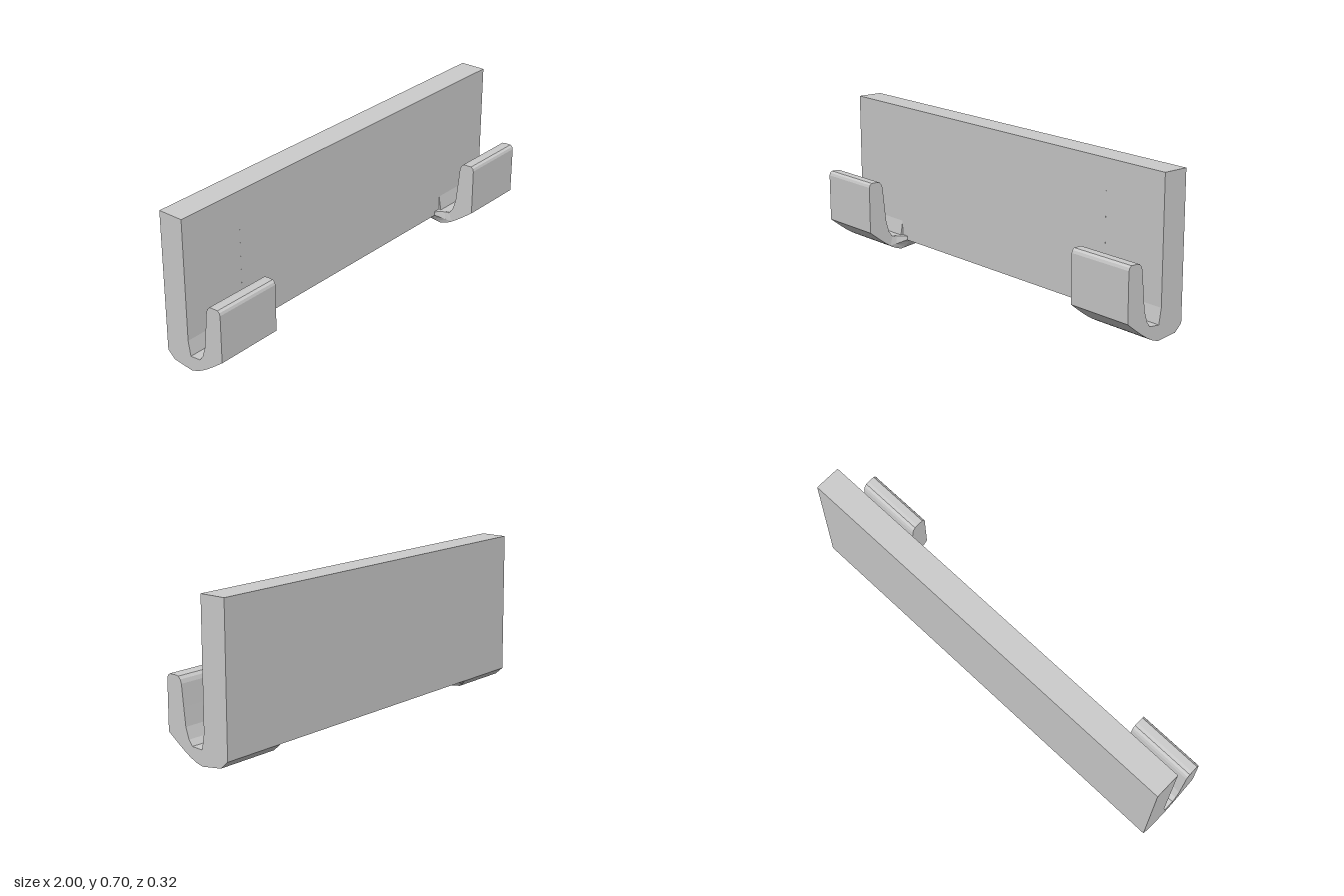
import * as THREE from 'three';

const material = new THREE.MeshStandardMaterial({ color: 0xcccccc, flatShading: true });
const INNER = 0.68; // inner end of each hook along x

// Extrudes a [z, y] profile along x from x0 to x1
function extrudeAlongX(name, profile, x0, x1) {
  const shape = new THREE.Shape(profile.map(([z, y]) => new THREE.Vector2(-z, y)));
  const geometry = new THREE.ExtrudeGeometry(shape, { depth: x1 - x0, bevelEnabled: false });
  geometry.rotateY(Math.PI / 2).translate(x0, 0, 0);
  const mesh = new THREE.Mesh(geometry, material);
  mesh.name = name;
  return mesh;
}

// Skins equal-length [z, y] loops placed at increasing x, closing both ends
function loftAlongX(name, sections) {
  const n = sections[0].loop.length;
  const positions = [];
  const index = [];
  sections.forEach(({ x, loop }) => loop.forEach(([z, y]) => positions.push(x, y, z)));
  for (let s = 0; s < sections.length - 1; s++) {
    for (let i = 0; i < n; i++) {
      const a = s * n + i, b = s * n + (i + 1) % n;
      index.push(a, b, b + n, a, b + n, a + n);
    }
  }
  const last = (sections.length - 1) * n;
  for (let i = 1; i < n - 1; i++) {
    index.push(0, i + 1, i, last, last + i, last + i + 1);
  }
  const geometry = new THREE.BufferGeometry();
  geometry.setAttribute('position', new THREE.Float32BufferAttribute(positions, 3));
  geometry.setIndex(index);
  geometry.computeVertexNormals();
  const mesh = new THREE.Mesh(geometry, material);
  mesh.name = name;
  return mesh;
}

export function createModel() {
  const group = new THREE.Group();
  group.name = 'hookPlate';

  // Upright panel between the hooks
  group.add(extrudeAlongX('panel', [
    [-0.035, 0.05], [-0.16, 0.045], [-0.157, 0.703], [-0.033, 0.705],
  ], -INNER, INNER));

  // J-shaped end section: panel edge, curved floor and front lip
  const hookProfile = [
    [0.16, 0.115], [0.105, 0.072], [0.075, 0.05], [0.045, 0.03], [0.012, 0.012], [-0.023, 0.001],
    [-0.123, 0.012], [-0.16, 0.045], [-0.157, 0.703], [-0.033, 0.705],
    [-0.035, 0.14], [-0.023, 0.07], [0.03, 0.075], [0.048, 0.1], [0.064, 0.15],
    [0.073, 0.23], [0.083, 0.325], [0.089, 0.342], [0.1, 0.354], [0.115, 0.357],
    [0.147, 0.358], [0.157, 0.35], [0.161, 0.338],
  ];

  // Floor flare: blends from the hook floor (t = 0) to the panel's lower edge (t = 1)
  const hookFloor = [[0.04, 0.03], [-0.023, 0.001], [-0.123, 0.012], [-0.159, 0.045], [-0.1, 0.07], [0.03, 0.072]];
  const panelEdge = [[-0.034, 0.052], [-0.06, 0.05], [-0.123, 0.048], [-0.159, 0.047], [-0.1, 0.07], [-0.034, 0.07]];
  const blend = (t) => hookFloor.map(([z, y], i) => [
    THREE.MathUtils.lerp(z, panelEdge[i][0], Math.sqrt(t)),
    THREE.MathUtils.lerp(y, panelEdge[i][1], t),
  ]);

  for (const side of [-1, 1]) {
    const hook = new THREE.Group();
    hook.name = side > 0 ? 'leftHook' : 'rightHook';
    const ends = [side * INNER, side].sort((a, b) => a - b);
    hook.add(extrudeAlongX('hookBody', hookProfile, ends[0], ends[1]));

    const sections = [0, 0.15, 0.4, 0.7, 1].map((t) => ({ x: side * (INNER - 0.035 * t), loop: blend(t) }));
    sections.sort((a, b) => a.x - b.x);
    hook.add(loftAlongX('floorFlare', sections));
    group.add(hook);
  }
  return group;
}
